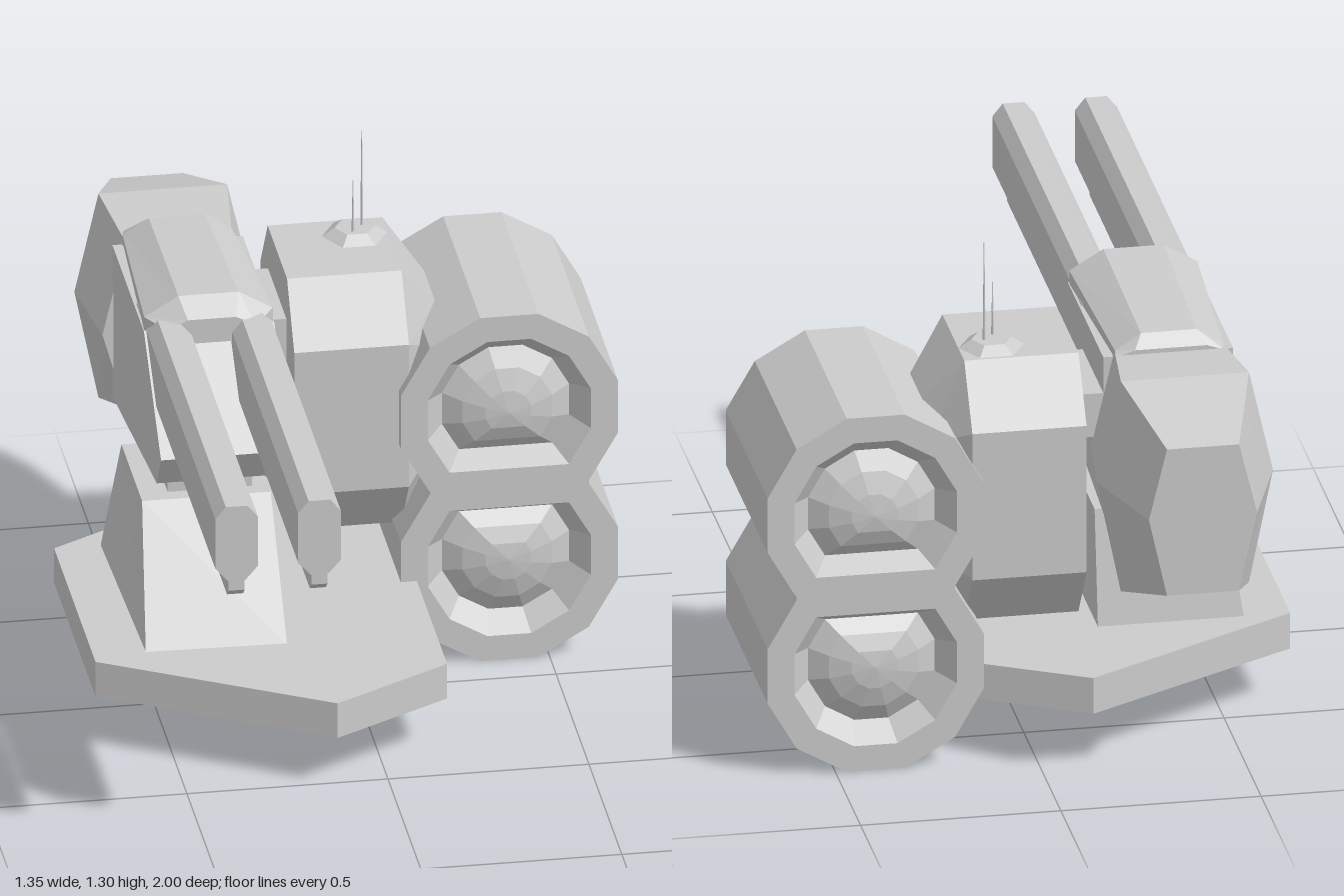
import * as THREE from 'three';

const grey = new THREE.MeshStandardMaterial({ color: 0xcccccc, flatShading: true });
const greyOpen = new THREE.MeshStandardMaterial({ color: 0xcccccc, flatShading: true, side: THREE.DoubleSide });

// Skin a list of equal-length closed sections ([x, y, z] points); caps fan from their centres.
function loft(sections, capStart = true, capEnd = true) {
  const tris = [];
  const n = sections[0].length;
  for (let s = 0; s + 1 < sections.length; s++) {
    const a = sections[s], b = sections[s + 1];
    for (let i = 0; i < n; i++) {
      const j = (i + 1) % n;
      tris.push([a[i], a[j], b[j]], [a[i], b[j], b[i]]);
    }
  }
  const cap = (sec, flip) => {
    const c = [0, 1, 2].map(k => sec.reduce((t, p) => t + p[k], 0) / n);
    for (let i = 0; i < n; i++) {
      const j = (i + 1) % n;
      tris.push(flip ? [sec[j], sec[i], c] : [sec[i], sec[j], c]);
    }
  };
  if (capStart) cap(sections[0], true);
  if (capEnd) cap(sections[sections.length - 1], false);
  // Turn the skin outward if its enclosed volume is negative
  const v = p => new THREE.Vector3(...p);
  const volume = tris.reduce((t, [a, b, c]) => t + v(a).dot(v(b).cross(v(c))), 0);
  if (volume < 0) tris.forEach(t => t.reverse());
  const geo = new THREE.BufferGeometry();
  geo.setAttribute('position', new THREE.Float32BufferAttribute(tris.flat(2), 3));
  geo.computeVertexNormals();
  return geo;
}

// Left-right symmetric section at depth z, from half-profile [halfWidth, y] listed top to bottom
const mirrored = (z, cx, half) => [
  ...half.map(([w, y]) => [cx + w, y, z]),
  ...half.slice().reverse().map(([w, y]) => [cx - w, y, z]),
];
// Prism across x from a [z, y] profile
const prismX = (x0, x1, prof) => loft([x0, x1].map(x => prof.map(([z, y]) => [x, y, z])));

export function createModel() {
  const model = new THREE.Group();
  const add = (name, geo, mat = grey, parent = model) => {
    const m = new THREE.Mesh(geo, mat);
    m.name = name;
    parent.add(m);
    return m;
  };
  const box = (name, x0, x1, y0, y1, z0, z1, parent) => {
    const g = new THREE.BoxGeometry(x1 - x0, y1 - y0, z1 - z0);
    g.translate((x0 + x1) / 2, (y0 + y1) / 2, (z0 + z1) / 2);
    return add(name, g, grey, parent);
  };

  // Base plate and the hollow hexagonal socket below it
  const plate = [[-0.68, -0.42], [-0.13, -0.735], [0.17, -0.57], [0.17, 0.36], [-0.13, 0.53], [-0.68, 0.21]];
  add('basePlate', loft([0.14, 0.235].map(y => plate.map(([x, z]) => [x, y, z]))));
  add('baseSocket', new THREE.CylinderGeometry(0.285, 0.285, 0.07, 6, 1, true), greyOpen)
    .position.set(-0.13, 0.108, -0.105);

  // Sloped pedestal and neck
  add('pedestal', loft([
    [[-0.565, 0.23, -0.42], [-0.2, 0.23, -0.42], [-0.2, 0.23, 0.19], [-0.55, 0.23, 0.18]],
    [[-0.52, 0.53, -0.375], [-0.2, 0.53, -0.375], [-0.2, 0.53, -0.06], [-0.52, 0.53, -0.06]],
  ]));
  box('neck', -0.45, -0.24, 0.52, 0.68, -0.33, -0.1);

  // Gun body, rear bulb and top cover
  const gx = -0.355;
  add('gunBody', prismX(gx - 0.162, gx + 0.162,
    [[0.21, 0.775], [0.145, 0.68], [-0.53, 0.585], [-0.53, 1.0], [-0.05, 1.0]]));
  add('gunRear', loft([
    mirrored(-1, gx, [[0.09, 0.945], [0.135, 0.76], [0.09, 0.555]]),
    mirrored(-0.755, gx, [[0.16, 1.03], [0.22, 0.765], [0.16, 0.47]]),
    mirrored(-0.51, gx, [[0.132, 1.015], [0.19, 0.765], [0.132, 0.56]]),
  ]));
  add('topCover', loft([
    mirrored(-0.57, gx, [[0.09, 1.03], [0.132, 1.015], [0.132, 0.98]]),
    mirrored(-0.54, gx, [[0.07, 1.062], [0.135, 1.02], [0.135, 0.98]]),
    mirrored(-0.06, gx, [[0.075, 1.086], [0.16, 1.035], [0.16, 0.98]]),
    mirrored(-0.005, gx, [[0.06, 1.045], [0.11, 1.02], [0.11, 0.98]]),
  ]));

  // Twin barrels, each with a rail below
  for (const x of [gx - 0.103, gx + 0.103]) {
    const barrel = new THREE.Group();
    barrel.name = 'barrel';
    model.add(barrel);
    add('barrelTube', loft([-0.2, 1].map(z =>
      mirrored(z, x, [[0.027, 1.035], [0.053, 1.003], [0.053, 0.868], [0.022, 0.832]]))), grey, barrel);
    add('barrelRail', prismX(x - 0.02, x + 0.02,
      [[0.05, 0.84], [1, 0.84], [1, 0.805], [0.975, 0.783], [0.05, 0.783]]), grey, barrel);
  }

  // Octagonal side housing, tapering into the pod
  const oct = [[-0.13, 0.48], [-0.13, 0.87], [-0.24, 1.02], [-0.535, 1.02],
    [-0.645, 0.87], [-0.645, 0.48], [-0.535, 0.33], [-0.24, 0.33]];
  const octAt = (x, sz, sy) => oct.map(([z, y]) => [x, 0.675 + (y - 0.675) * sy, -0.3875 + (z + 0.3875) * sz]);
  add('sideHousing', loft([octAt(-0.13, 1, 1), octAt(0.155, 1, 1), octAt(0.25, 0.54, 0.64)]));
  box('housingLink', -0.22, -0.12, 0.79, 0.905, -0.53, -0.25);

  // Hatch with two antennas
  add('hatch', new THREE.CylinderGeometry(0.05, 0.083, 0.022, 6).rotateY(Math.PI / 6))
    .position.set(0.073, 1.03, -0.455);
  for (const [x, z, top] of [[0.065, -0.43, 1.18], [0.092, -0.462, 1.3]]) {
    add('antenna', new THREE.CylinderGeometry(0.001, 0.004, top - 1.03, 6))
      .position.set(x, (top + 1.03) / 2, z);
  }

  // Double pod: two joined twelve-sided drums with a recess at each end
  const px = 0.4, zFront = -0.1, zBack = -0.665;
  const drums = [[0.674, 1], [0.272, -1]]; // centre height, outward direction
  const arc = (r, cy, dir) => Array.from({ length: 10 }, (_, i) => {
    const a = (-45 + 30 * i) * Math.PI / 180;
    return [px + r * Math.cos(a) * dir, cy + r * Math.sin(a) * dir];
  });
  const toV2 = pts => pts.map(p => new THREE.Vector2(...p));
  const outline = drums.flatMap(([cy, dir]) => arc(0.2795, cy, dir));
  const shape = new THREE.Shape(toV2(outline));
  for (const [cy, dir] of drums) shape.holes.push(new THREE.Path(toV2(arc(0.21, cy, dir))));
  const shell = new THREE.ExtrudeGeometry(shape, { depth: zFront - zBack, bevelEnabled: false });
  add('podShell', shell.translate(0, 0, zBack));

  // Each recess slopes inward, then a faceted dome rises from its floor
  const steps = [[1, 0], [0.78, 0.06], [0.55, 0.03], [0.28, 0.012], [0.02, 0.006]]; // scale, depth
  for (const [cy, dir] of drums) {
    for (const [z, inward] of [[zFront, -1], [zBack, 1]]) {
      add('podDome', loft(steps.map(([s, d]) =>
        arc(0.21 * s, cy, dir).map(([x, y]) => [x, y, z + inward * d])), false, true), greyOpen);
    }
  }
  return model;
}
